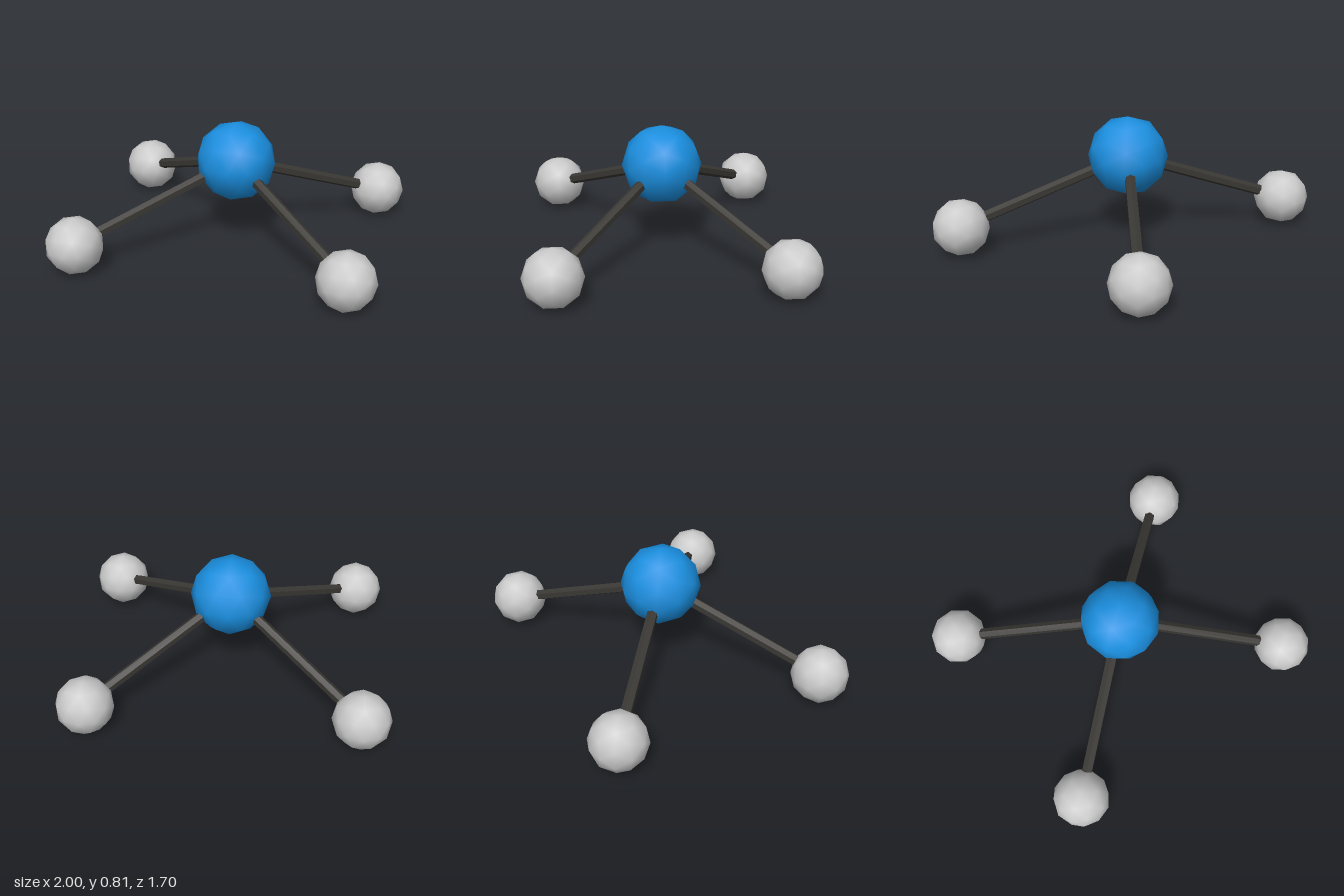
import * as THREE from 'three';

const blue = new THREE.MeshStandardMaterial({ color: 0x1a8fe0 });
const grey = new THREE.MeshStandardMaterial({ color: 0xcccccc });
const dark = new THREE.MeshStandardMaterial({ color: 0x3a3834, flatShading: true });

// Low-poly ball with smooth normals
function ball(name, radius, position, material) {
  const geometry = new THREE.IcosahedronGeometry(radius, 1).rotateY(Math.PI / 2);
  const mesh = new THREE.Mesh(geometry, material);
  mesh.name = name;
  mesh.position.copy(position);
  return mesh;
}

// Six-sided rod running between two points
function rod(name, from, to, radius) {
  const along = to.clone().sub(from);
  const geometry = new THREE.CylinderGeometry(radius, radius, along.length(), 6)
    .rotateX(Math.PI / 2);
  const mesh = new THREE.Mesh(geometry, dark);
  mesh.name = name;
  mesh.position.copy(from).addScaledVector(along, 0.5);
  mesh.lookAt(to);
  return mesh;
}

export function createModel() {
  const model = new THREE.Group();
  model.name = 'ballAndRodModel';

  // Central ball
  const centre = new THREE.Vector3(0, 0.556, 0);
  model.add(ball('centreBall', 0.252, centre, blue));

  // Four arms, each a rod with a ball at its end
  for (const z of [1, -1]) {
    for (const x of [1, -1]) {
      const side = (z > 0 ? 'front' : 'back') + (x > 0 ? 'Left' : 'Right');
      const end = new THREE.Vector3(x * 0.822, 0.18, z * 0.672);
      model.add(rod(side + 'Rod', centre, end, 0.035));
      model.add(ball(side + 'Ball', 0.178, end, grey));
    }
  }
  return model;
}
